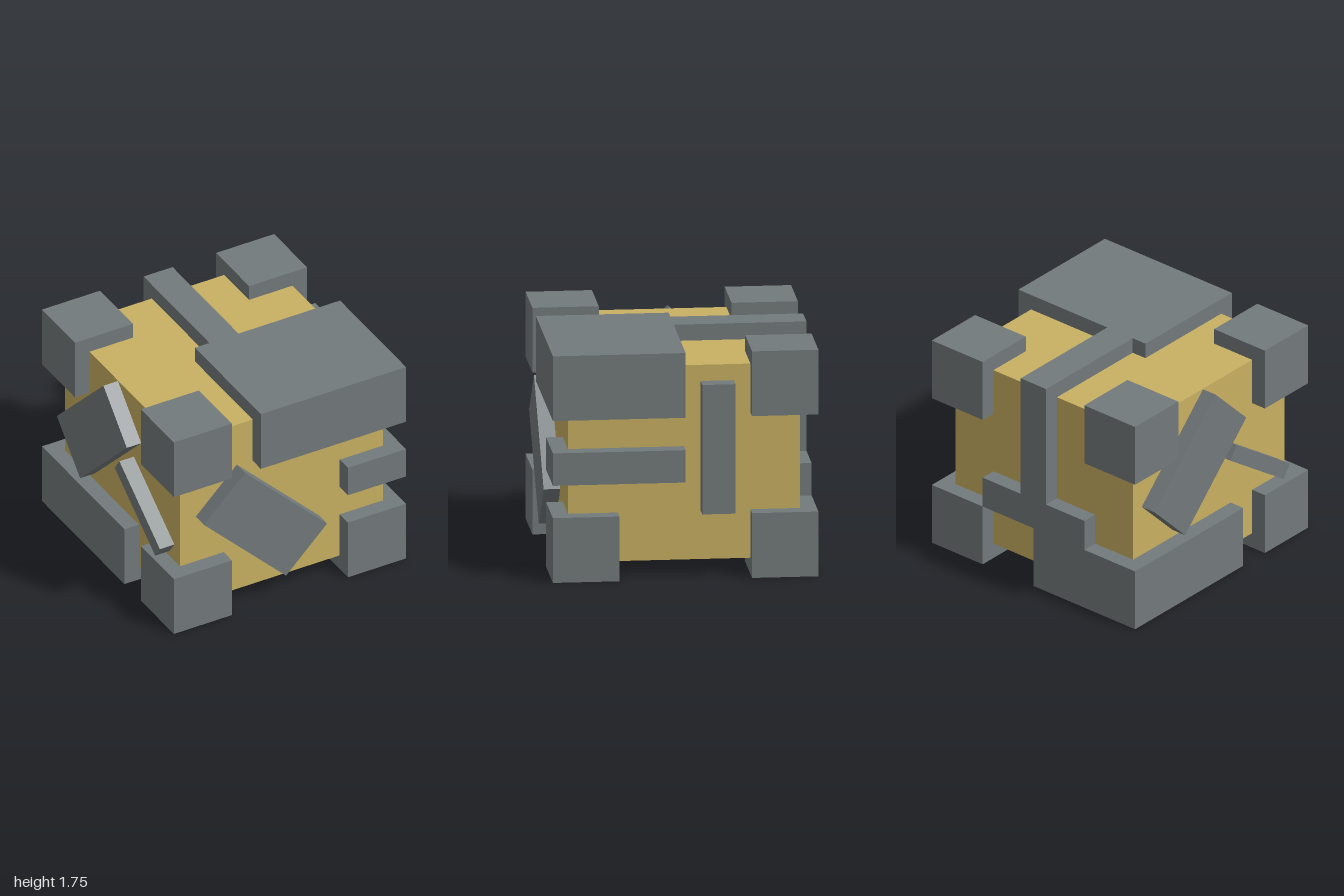
import * as THREE from 'three';

export function createModel() {
  const model = new THREE.Group();
  const gold = new THREE.MeshStandardMaterial({ color: 0xc9b062 });
  gold.name = 'gold';
  const grey = new THREE.MeshStandardMaterial({ color: 0x737a7c });
  grey.name = 'steelGrey';

  // Box given by its lower and upper limits on each axis
  const block = (name, [x0, x1], [y0, y1], [z0, z1], material = grey) => {
    const mesh = new THREE.Mesh(new THREE.BoxGeometry(x1 - x0, y1 - y0, z1 - z0), material);
    mesh.position.set((x0 + x1) / 2, (y0 + y1) / 2, (z0 + z1) / 2);
    mesh.name = name;
    model.add(mesh);
    return mesh;
  };

  // Inner cube
  block('core', [-0.875, 0.875], [0.125, 1.625], [-0.875, 0.875], gold);

  // Corner cubes; the two remaining corners carry the larger slabs
  const low = [0, 0.5], high = [1.25, 1.75];
  const neg = [-1, -0.5], pos = [0.5, 1];
  block('topBackRightCorner', neg, high, neg);
  block('topBackLeftCorner', pos, high, neg);
  block('topFrontRightCorner', neg, high, pos);
  block('bottomFrontRightCorner', neg, low, pos);
  block('bottomFrontLeftCorner', pos, low, pos);
  block('bottomBackLeftCorner', pos, low, neg);
  block('topSlab', [-0.25, 1], high, [0, 1]);
  block('bottomSlab', [-1, 0], low, [-1, 0.25]);

  // Raised strips over the top and down the back
  block('topStrip', [-0.125, 0.125], [1.6, 1.75], [-1, 0]);
  block('backUprightStrip', [-0.125, 0.125], [0.75, 1.6], [-1, -0.85]);
  block('backCrossStrip', [-0.5, 0.5], [0.5, 0.75], [-1, -0.85]);

  // Strips on the left side
  block('leftWrapStrip', [0.5, 1], [0.75, 1], [0, 1]);
  block('leftUprightStrip', [0.85, 1], [0.5, 1.5], [-0.375, -0.125]);

  // Tilted plates on the front and right side
  const tilted = (name, size, position, rotation) => {
    const mesh = new THREE.Mesh(new THREE.BoxGeometry(...size), grey);
    mesh.position.set(...position);
    mesh.rotation.set(...rotation);
    mesh.name = name;
    model.add(mesh);
  };
  tilted('frontDiagonalPlate', [1, 0.5, 0.125], [-0.21, 0.73, 0.9375], [0, 0, -Math.PI / 4]);
  tilted('rightDiagonalPlate', [0.125, 0.5, 1], [-0.9375, 1.09, -0.245], [-Math.PI / 4, 0, 0]);
  tilted('rightDiagonalStrip', [0.125, 0.125, 0.75], [-0.9375, 0.81, 0.445], [THREE.MathUtils.degToRad(35), 0, 0]);

  return model;
}
